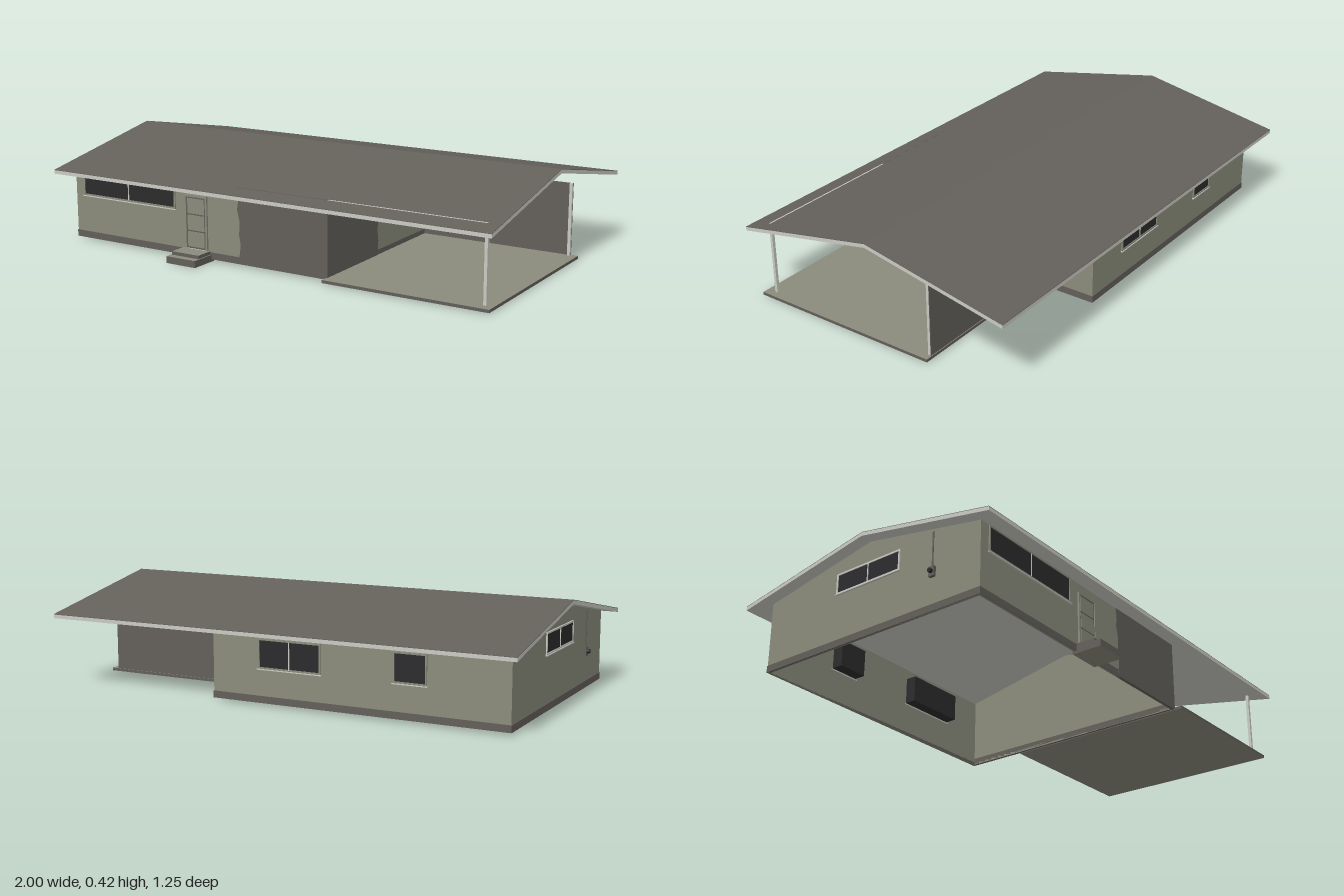
import * as THREE from 'three';

const mat = (name, color) => {
  const m = new THREE.MeshStandardMaterial({ color });
  m.name = name;
  return m;
};

export function createModel() {
  const house = new THREE.Group();
  house.name = 'house';

  const siding = mat('olive siding', 0x8b8c7b);
  const brick = mat('dark brick', 0x635f5a);
  const roofGrey = mat('roof grey', 0x64605a);
  const trim = mat('pale trim', 0xcbcbc4);
  const glass = mat('dark glass', 0x2b2b2d);
  const concrete = mat('concrete', 0x8a8a7d);
  // concrete top and bottom with dark edges, in box face order
  const slabMats = [brick, brick, concrete, concrete, brick, brick];

  const add = (name, geo, material, parent = house) => {
    const m = new THREE.Mesh(geo, material);
    m.name = name;
    parent.add(m);
    return m;
  };
  // box given by its minimum and maximum corners
  const box = (name, material, x0, x1, y0, y1, z0, z1, parent = house) => {
    const g = new THREE.BoxGeometry(x1 - x0, y1 - y0, z1 - z0);
    g.translate((x0 + x1) / 2, (y0 + y1) / 2, (z0 + z1) / 2);
    return add(name, g, material, parent);
  };
  const extrude = (pts, depth) => new THREE.ExtrudeGeometry(
    new THREE.Shape(pts.map(p => new THREE.Vector2(...p))), { depth, bevelEnabled: false });
  // profile of [z, y] points swept from x0 to x1
  const sweepX = (pts, x0, x1) => extrude(pts.map(([z, y]) => [-z, y]), x1 - x0)
    .rotateY(Math.PI / 2).translate(x0, 0, 0);

  // main dimensions
  const L = -0.949, R = 0.29, F = 0.515, B = -0.53, T = 0.01;
  const ridgeZ = -0.015, ridgeY = 0.42, eaveF = 0.591, eaveB = -0.625, slope = 0.192;
  const top = z => ridgeY - slope * Math.abs(z - ridgeZ);
  const thick = 0.017;
  const under = z => top(z) - thick;

  // roof: pale deck (soffit, fascias, gable ends) with a thin grey covering
  const roofLayer = (hi, lo) => {
    const zs = [eaveF, ridgeZ, eaveB];
    return sweepX([...zs.map(z => [z, top(z) - hi]), ...zs.reverse().map(z => [z, top(z) - lo])], -1, 1);
  };
  add('roofDeck', roofLayer(0.002, thick), trim);
  add('roofCovering', roofLayer(0, 0.002), roofGrey);

  // walls, open underneath
  const gable = [[F, 0.01], [F, under(F)], [ridgeZ, under(ridgeZ)], [B, under(B)], [B, 0.01]];
  add('leftEndWall', sweepX(gable, R - T, R), siding);
  add('rightEndWall', sweepX(gable, L, L + T), siding);
  box('frontWall', siding, L, -0.1, 0.01, under(F), F - T, F);
  box('frontBrickWall', brick, -0.1, R, 0.01, under(F), F - T, F);
  box('backWall', siding, L, R, 0.01, under(B), B, B + T);

  // dark foundation band
  const fy = 0.038, e = 0.002;
  box('frontFoundation', brick, L - e, R, 0.01, fy, F - T, F + e);
  box('backFoundation', brick, L - e, R + e, 0.01, fy, B - e, B + T);
  box('rightFoundation', brick, L - e, L + T, 0.01, fy, B, F);
  box('leftFoundation', brick, R - T, R + e, 0.01, fy, B, F);

  // masonry veneer with ragged edges, wrapping the corner into the carport
  const frontVeneer = [[-0.118, 0.012], [R + 0.004, 0.012], [R + 0.004, 0.319], [-0.12, 0.319],
    [-0.115, 0.26], [-0.12, 0.23], [-0.108, 0.18], [-0.112, 0.13], [-0.105, 0.09], [-0.11, 0.05]];
  add('frontVeneer', extrude(frontVeneer, 0.004).translate(0, 0, F - 0.001), brick);
  const sideVeneer = [[F, 0.012], [F, 0.32], [0.4, 0.322], [0.35, 0.331], [0.3, 0.337], [0.26, 0.333],
    [0.2, 0.326], [0.14, 0.323], [0.14, 0.11], [0.135, 0.08], [0.136, 0.012]];
  add('carportVeneer', sweepX(sideVeneer, R - 0.001, R + 0.004), brick);

  // carport slab, header, screen wall and posts
  box('carportSlab', slabMats, R, 0.98, 0.006, 0.018, -0.27, 0.552);
  box('carportHeader', trim, R + 0.004, 0.951, 0.303, 0.3192, 0.508, 0.516);
  box('carportScreen', brick, R, 0.951, 0.018, 0.312, -0.267, -0.264);
  box('frontPost', trim, 0.939, 0.951, 0.018, 0.303, 0.504, 0.516);
  box('backPost', trim, 0.939, 0.951, 0.018, 0.312, -0.264, -0.253);

  // deep window centred on its wall, in local x (along the wall) and z (outward)
  const makeWindow = (name, w, h, mullions, frameMat) => {
    const g = new THREE.Group();
    g.name = name;
    house.add(g);
    const a = w / 2, b = h / 2, f = 0.007, d = 0.005, inner = -0.058;
    box('pane', glass, -a, a, -b, b, inner, 0.002, g);
    for (const s of [-1, 1]) {
      box('jamb', frameMat, s * a - f / 2, s * a + f / 2, -b, b, -0.002, d, g);
      box('rail', frameMat, -a - f / 2, a + f / 2, s * b - f / 2, s * b + f / 2, -0.002, d, g);
    }
    box('sill', trim, -a - f, a + f, -b - f, -b - f / 2, -T - 0.003, d + 0.003, g);
    for (const x of mullions) box('mullion', trim, x - 0.002, x + 0.002, -b, b, 0, d, g);
    return g;
  };
  makeWindow('frontWindow', 0.475, 0.1, [0], siding).position.set(-0.665, 0.247, F);
  const back1 = makeWindow('wideBackWindow', 0.265, 0.112, [0], siding);
  back1.position.set(-0.05, 0.205, B);
  back1.rotation.y = Math.PI;
  const back2 = makeWindow('smallBackWindow', 0.13, 0.112, [], siding);
  back2.position.set(-0.555, 0.205, B);
  back2.rotation.y = Math.PI;
  const side = makeWindow('sideWindow', 0.31, 0.08, [0], trim);
  side.position.set(L, 0.272, -0.02);
  side.rotation.y = -Math.PI / 2;

  // front door through the wall: dark leaf, casing and three panels on both faces
  const door = new THREE.Group();
  door.name = 'frontDoor';
  house.add(door);
  const z0 = F - T, d0 = 0.042, d1 = 0.258;
  box('leaf', brick, -0.368, -0.272, d0, d1, z0 - 0.004, F + 0.004, door);
  for (const x of [-0.371, -0.269]) box('jamb', siding, x - 0.004, x + 0.004, d0, d1, F, F + 0.008, door);
  box('head', siding, -0.375, -0.265, d1 - 0.004, d1 + 0.004, F, F + 0.008, door);
  box('threshold', trim, -0.37, -0.27, d0 - 0.003, d0 + 0.001, z0 - 0.006, F + 0.008, door);
  for (let i = 0; i < 3; i++) {
    const y = 0.05 + i * 0.068;
    box('panel', siding, -0.361, -0.279, y, y + 0.062, z0 - 0.006, F + 0.006, door);
  }

  // entry steps
  box('lowerStep', slabMats, -0.39, -0.25, 0, 0.028, 0.5, 0.625);
  box('upperStep', slabMats, -0.385, -0.255, 0.028, 0.042, F, 0.595);

  // electric meter with its conduit on the end wall
  const meter = new THREE.Group();
  meter.name = 'electricMeter';
  house.add(meter);
  const mz = 0.3;
  box('meterBox', brick, L - 0.012, L, 0.145, 0.185, mz - 0.012, mz + 0.012, meter);
  add('meterDial', new THREE.CylinderGeometry(0.009, 0.009, 0.012, 12)
    .rotateZ(Math.PI / 2).translate(L - 0.018, 0.165, mz), glass, meter);
  add('conduit', new THREE.CylinderGeometry(0.003, 0.003, 0.145, 8)
    .translate(L - 0.005, 0.2575, mz), brick, meter);

  return house;
}
